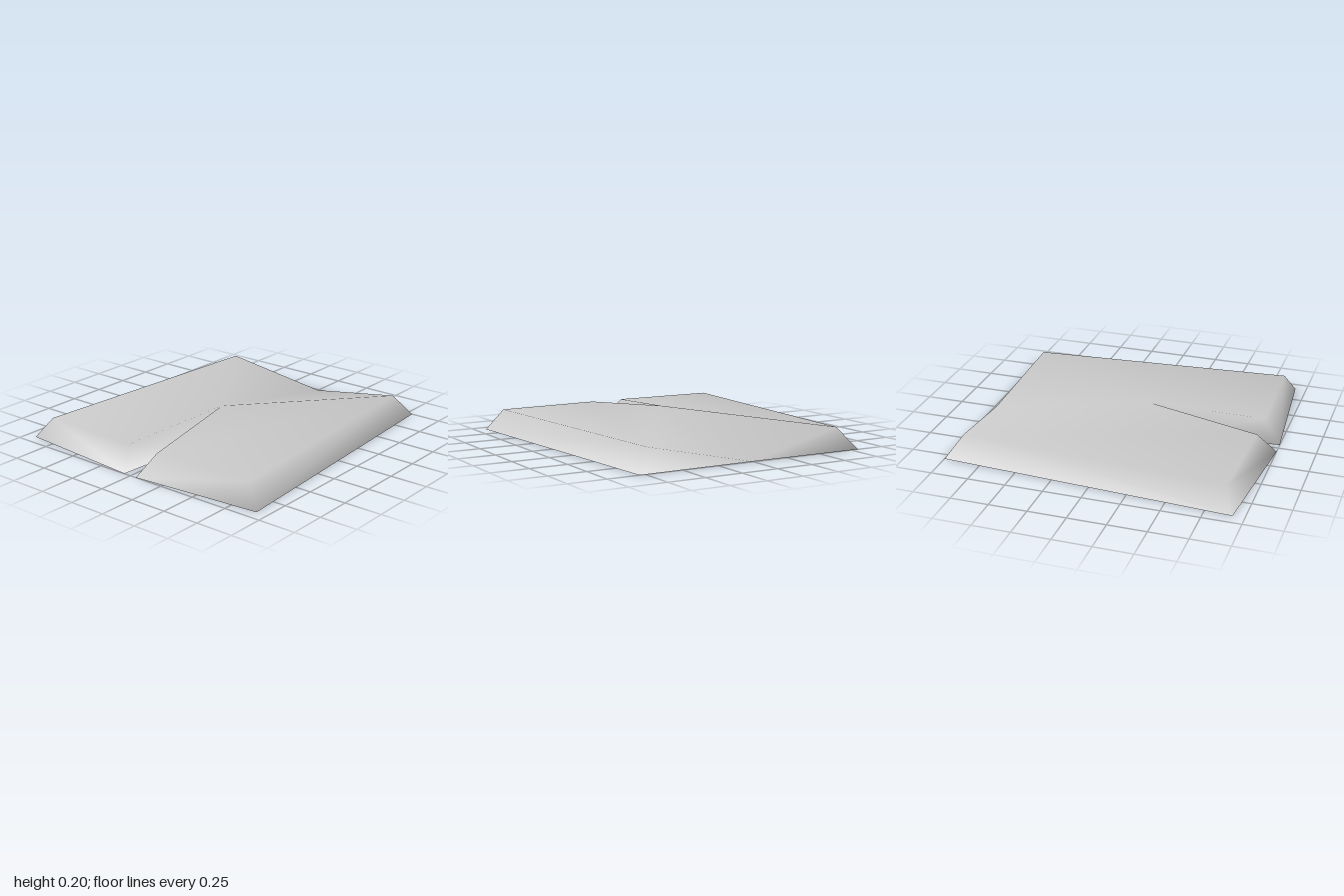
import * as THREE from 'three';

// Points on the centre line: roof peak, inner end of the slit, middle of the back edge
const centre = [[0, 0.2, 0.11], [0, 0, 0.3], [0, 0, -0.99]];

// Each half: slit lip, front corner and back corner, first upper then lower
const rightHalf = [
  [0.115, 0.14, 0.88], [0.82, 0.14, 0.86], [0.685, 0.14, -0.905],
  [0.045, 0, 1], [0.925, 0, 0.925], [0.79, 0, -1],
];
const leftHalf = [
  [-0.12, 0.14, 0.88], [-0.82, 0.14, 0.86], [-0.7, 0.14, -0.905],
  [-0.05, 0, 1], [-0.925, 0, 0.925], [-0.805, 0, -1],
];

// Faces of the right half; the left half repeats them in reverse order
const [peak, slitEnd, backMid, slitTop, frontTop, backTop, slitLow, frontLow, backLow] =
  Array(9).keys();
const faces = [
  // roof: slope to the peak, flat corner, valley at the back
  [peak, slitTop, backTop], [slitTop, frontTop, backTop], [peak, backTop, backMid],
  // front, side and back skirts
  [slitLow, frontLow, frontTop], [slitLow, frontTop, slitTop],
  [frontLow, backLow, backTop], [frontLow, backTop, frontTop],
  [backLow, backMid, backTop],
  // slit wall
  [slitEnd, slitLow, slitTop], [slitEnd, slitTop, peak],
];

export function createModel() {
  const group = new THREE.Group();
  const toLeft = (v) => (v < centre.length ? v : v + rightHalf.length);
  const index = faces.flatMap(([a, b, c]) => [a, b, c, toLeft(c), toLeft(b), toLeft(a)]);

  // Open shell with shared corners, so the shading stays smooth
  const geometry = new THREE.BufferGeometry();
  geometry.setAttribute('position',
    new THREE.Float32BufferAttribute([...centre, ...rightHalf, ...leftHalf].flat(), 3));
  geometry.setIndex(index);
  geometry.computeVertexNormals();

  const grey = new THREE.MeshStandardMaterial({ color: 0xcccccc, side: THREE.DoubleSide });
  grey.name = 'light grey';
  const shell = new THREE.Mesh(geometry, grey);
  shell.name = 'slitShell';
  group.add(shell);
  return group;
}
